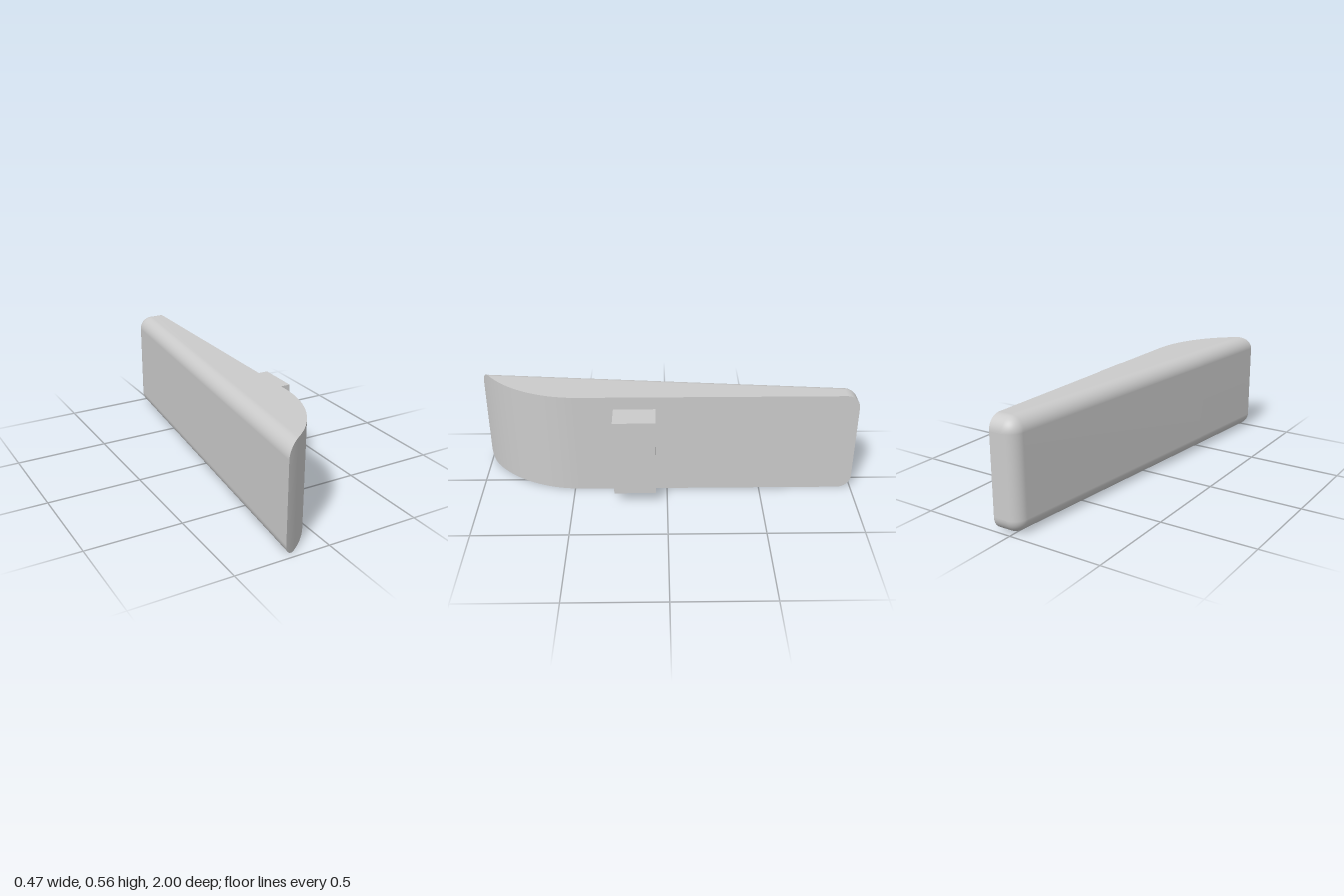
import * as THREE from 'three';

const H = 0.5625, MID = H / 2;      // body height and its middle
const RIGHT = 0.09, TIP = -0.237;   // flat right face, pointed front edge
const R = 0.072;                    // edge rounding
const Z0 = -1 + R;                  // where the back rounding begins
const BEND = 0.46;                  // where the right face starts to curve
const dx = RIGHT - TIP, dz = 1 - BEND;
const RHO = (dx * dx + dz * dz) / (2 * dx);
const SWEEP = Math.asin(dz / RHO);

// Smooth surface through rows of points
function loft(rows, material) {
  const n = rows[0].length, index = [];
  for (let i = 0; i < rows.length - 1; i++) {
    for (let j = 0; j < n - 1; j++) {
      const a = i * n + j, b = a + n;
      index.push(a, b, a + 1, b, b + 1, a + 1);
    }
  }
  const g = new THREE.BufferGeometry();
  g.setAttribute('position', new THREE.Float32BufferAttribute(rows.flat(2), 3));
  g.setIndex(index);
  g.computeVertexNormals();
  return new THREE.Mesh(g, material);
}

// Centre line of the rounding along the sloping left face
const roundingCentre = (z) => TIP + 0.0955 * (1 - Math.max(z, Z0)) + R;

// Cross-section at z: from lower right, round the left side, to upper right
function section(z, right, r) {
  const cx = roundingCentre(z), cy = MID - R, steps = 14;
  const tMax = right < cx ? Math.acos(Math.min(1, (cx - right) / R)) : Math.PI / 2;
  const upper = [];
  for (let k = 0; k <= steps; k++) {
    const t = tMax * k / steps;
    upper.push([cx - r * Math.cos(t), cy + r * Math.sin(t), z]);
  }
  upper.push([right, upper[steps][1], z]);
  const lower = upper.map(([x, y]) => [x, -y, z]).reverse();
  return [...lower, ...upper].map(([x, y]) => [x, y + MID, z]);
}

export function createModel() {
  const material = new THREE.MeshStandardMaterial({ color: 0xcccccc });
  const model = new THREE.Group();

  // Cross-sections from the rounded back to the pointed front
  const sections = [];
  for (let i = 0; i <= 14; i++) {
    const a = (i / 14) * Math.PI / 2;
    sections.push(section(Z0 - R * Math.cos(a), RIGHT, R * Math.sin(a)));
  }
  for (let i = 0; i <= 48; i++) {
    const a = SWEEP * (1 - (1 - i / 48) ** 2);
    sections.push(section(BEND + RHO * Math.sin(a), RIGHT - RHO * (1 - Math.cos(a)), R));
  }

  const body = new THREE.Group();
  body.name = 'body';
  const shell = loft(sections, material);
  shell.name = 'roundedShell';
  const rightFace = loft(sections.map((s) => [s[s.length - 1], s[0]]), material);
  rightFace.name = 'curvedRightFace';
  const cx = roundingCentre(-1), low = R, high = H - R;
  const backFace = loft([RIGHT, cx].map((x) => [[x, low, -1], [x, high, -1]]), material);
  backFace.name = 'backFace';
  body.add(shell, rightFace, backFace);
  model.add(body);

  // Block standing out from the right face
  const block = new THREE.Mesh(new THREE.BoxGeometry(0.157, 0.424, 0.22), material);
  block.name = 'mountingBlock';
  block.position.set(0.1585, MID, 0.17);
  model.add(block);

  return model;
}
